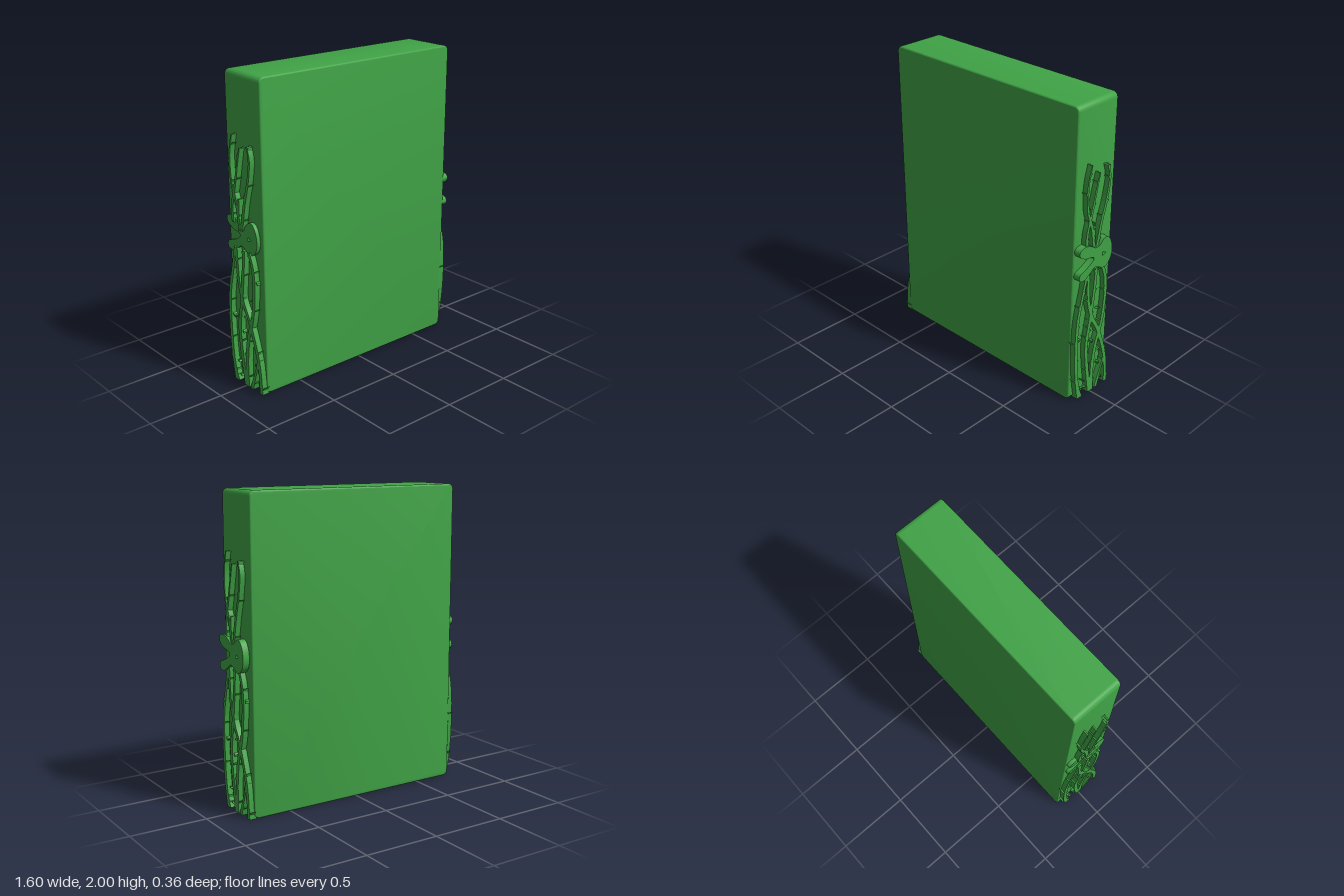
import * as THREE from 'three';
import { toCreasedNormals } from 'three/addons/utils/BufferGeometryUtils.js';

const green = new THREE.MeshStandardMaterial({ color: 0x40a346 });
green.name = 'leaf green';

const V = (p) => new THREE.Vector2(p[0], p[1]);

// small seeded random generator
function seeded(seed) {
  return () => (seed = (seed * 16807) % 2147483647) / 2147483647;
}

// flat relief cut from a shape
function relief(name, shape, depth) {
  const geo = new THREE.ExtrudeGeometry(shape, { depth, bevelEnabled: false, curveSegments: 12 });
  const mesh = new THREE.Mesh(toCreasedNormals(geo, 0.5), green);
  mesh.name = name;
  return mesh;
}

// tapering ribbon outline along a curve
function ribbon(curve, w0, w1, n = 24) {
  const left = [], right = [];
  for (let i = 0; i <= n; i++) {
    const t = i / n, p = curve.getPoint(t), d = curve.getTangent(t);
    const w = (w0 + (w1 - w0) * t) / 2;
    left.push(new THREE.Vector2(p.x - d.y * w, Math.max(0, p.y + d.x * w)));
    right.unshift(new THREE.Vector2(p.x + d.y * w, Math.max(0, p.y - d.x * w)));
  }
  return new THREE.Shape([...left, ...right]);
}

// stems: [start width, end width, points from root to tip]
const stems = [
  [0.03, 0.022, [[-0.11, 0], [-0.14, 0.18], [-0.152, 0.4], [-0.145, 0.6], [-0.11, 0.76], [-0.075, 0.92]]],
  [0.032, 0.024, [[-0.005, 0], [-0.035, 0.18], [-0.055, 0.38], [-0.03, 0.55], [-0.002, 0.76], [0.01, 0.92]]],
  [0.032, 0.024, [[0.012, 0], [0.012, 0.18], [0.035, 0.34], [0.085, 0.5], [0.108, 0.68], [0.1, 0.82], [0.065, 0.92]]],
  [0.03, 0.024, [[0.155, 0], [0.14, 0.18], [0.1, 0.33], [0.045, 0.47], [-0.005, 0.56], [-0.05, 0.7], [-0.065, 0.92]]],
  [0.03, 0.012, [[0.055, 0], [0.09, 0.1], [0.14, 0.23]]],
  [0.024, 0.008, [[-0.09, 0], [-0.115, 0.08], [-0.128, 0.16]]],
  [0.024, 0.01, [[-0.02, 1.06], [-0.05, 1.22], [-0.092, 1.34], [-0.1, 1.5], [-0.072, 1.63]]],
  [0.026, 0.01, [[-0.085, 1.08], [-0.09, 1.18], [-0.055, 1.32], [-0.025, 1.45], [0.002, 1.56]]],
  [0.026, 0.012, [[0, 1.05], [0.035, 1.22], [0.075, 1.36], [0.097, 1.5], [0.075, 1.585]]],
  [0.022, 0.01, [[-0.025, 1.04], [-0.028, 1.14], [-0.022, 1.24]]],
];

function vines(depth) {
  const group = new THREE.Group();
  group.name = 'thornyVines';
  const rand = seeded(77);
  for (const [w0, w1, pts] of stems) {
    const curve = new THREE.SplineCurve(pts.map(V));
    group.add(relief('vineStem', ribbon(curve, w0, w1), depth));

    // thorns pointing up and outwards, alternating sides
    const count = Math.round(curve.getLength() * 9);
    for (let i = 0; i < count; i++) {
      const t = (i + 0.3 + rand() * 0.4) / count;
      const p = curve.getPoint(t), d = curve.getTangent(t);
      const side = i % 2 ? 1 : -1, n = new THREE.Vector2(-d.y * side, d.x * side);
      const half = (w0 + (w1 - w0) * t) / 2;
      const at = (along, out) => p.clone().addScaledVector(d, along).addScaledVector(n, out);
      group.add(relief('thorn', new THREE.Shape([at(-0.01, half * 0.5), at(0.01, half * 0.5), at(0.016, half + 0.011)]), depth));
    }
  }
  // loose thorn flecks between the stems
  for (let i = 0; i < 26; i++) {
    const u = -0.13 + rand() * 0.26, v = 0.04 + Math.pow(rand(), 1.4) * 0.72;
    const a = rand() * Math.PI, c = Math.cos(a) * 0.012, s = Math.sin(a) * 0.012;
    group.add(relief('thornFleck', new THREE.Shape(
      [[u - c, v - s], [u + s * 0.4, v - c * 0.4], [u + c, v + s], [u - s * 0.4, v + c * 0.4]].map(V)), depth * 0.8));
  }
  return group;
}

// rabbit head lying sideways, with ears and a cut-out eye
function rabbit(depth) {
  const outline = new THREE.SplineCurve([
    [0.02, 1.075], [0.06, 1.11], [0.1, 1.105], [0.13, 1.06], [0.141, 1.0], [0.13, 0.95], [0.1, 0.915], [0.06, 0.905],
    [0.02, 0.925], [-0.02, 0.94], [-0.06, 0.915], [-0.11, 0.888], [-0.15, 0.893], [-0.163, 0.915], [-0.15, 0.942],
    [-0.1, 0.96], [-0.05, 0.985], [-0.03, 1.005], [-0.05, 1.022], [-0.1, 1.03], [-0.15, 1.055], [-0.165, 1.085],
    [-0.15, 1.108], [-0.11, 1.115], [-0.06, 1.1], [-0.02, 1.075], [0.02, 1.075],
  ].map(V));
  const shape = new THREE.Shape(outline.getPoints(110).slice(0, -1));
  shape.holes.push(new THREE.Path([[0.05, 1.02], [0.05, 0.99], [0.083, 1.003]].map(V)));
  return relief('rabbitHead', shape, depth);
}

// rounded slab: large corner radius in front profile, fine edge bevel
function slab() {
  const x = 0.761, y = 1, r = 0.035, b = 0.01, w = x - b, h = y - b, k = r - b;
  const s = new THREE.Shape();
  s.moveTo(-w + k, -h);
  s.lineTo(w - k, -h);
  s.absarc(w - k, -h + k, k, -Math.PI / 2, 0);
  s.lineTo(w, h - k);
  s.absarc(w - k, h - k, k, 0, Math.PI / 2);
  s.lineTo(-w + k, h);
  s.absarc(-w + k, h - k, k, Math.PI / 2, Math.PI);
  s.lineTo(-w, -h + k);
  s.absarc(-w + k, -h + k, k, Math.PI, Math.PI * 1.5);
  const depth = 0.345 - 2 * b;
  const geo = new THREE.ExtrudeGeometry(s, { depth, bevelSize: b, bevelThickness: b, bevelSegments: 3, curveSegments: 8 });
  geo.translate(-0.004, 1, -depth / 2 - 0.002);
  const mesh = new THREE.Mesh(toCreasedNormals(geo, 0.6), green);
  mesh.name = 'slabBody';
  return mesh;
}

export function createModel() {
  const model = new THREE.Group();
  model.name = 'carvedSlab';
  model.add(slab());
  // relief panels: same design facing outwards on both narrow sides
  const sides = [
    ['leftPanel', 0.745, Math.PI / 2, 0.046, 0.055],
    ['rightPanel', -0.753, -Math.PI / 2, 0.047, 0.037],
  ];
  for (const [name, x, turn, vineDepth, headDepth] of sides) {
    const panel = new THREE.Group();
    panel.name = name;
    panel.add(vines(vineDepth), rabbit(headDepth));
    panel.position.x = x;
    panel.rotation.y = turn;
    model.add(panel);
  }
  return model;
}
